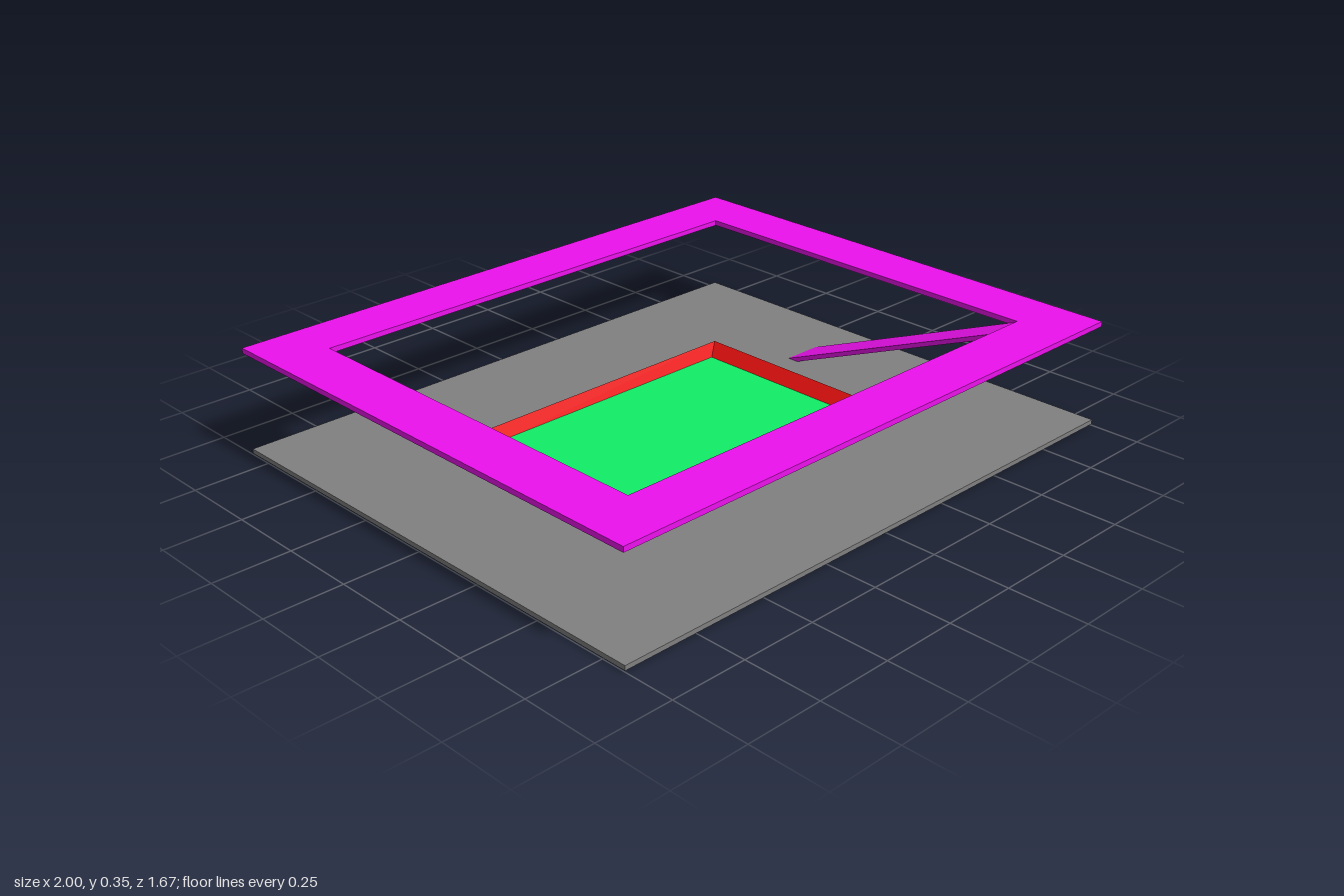
import * as THREE from 'three';

const paint = (color) => new THREE.MeshStandardMaterial({ color, flatShading: true });

function add(group, name, geometry, material) {
  const mesh = new THREE.Mesh(geometry, material);
  mesh.name = name;
  group.add(mesh);
  return mesh;
}

// Rectangular ring skinned through [halfX, halfZ, y] sections, outside to inside
function rectangularRing(sections) {
  const corners = [[1, 1], [1, -1], [-1, -1], [-1, 1]];
  const positions = [];
  const point = (s, k) => {
    const [cx, cz] = corners[k % 4];
    return [cx * s[0], s[2], cz * s[1]];
  };
  for (let i = 0; i < sections.length - 1; i++) {
    for (let k = 0; k < 4; k++) {
      const a = point(sections[i], k), b = point(sections[i], k + 1);
      const c = point(sections[i + 1], k + 1), d = point(sections[i + 1], k);
      positions.push(...a, ...b, ...c, ...a, ...c, ...d);
    }
  }
  const geometry = new THREE.BufferGeometry();
  geometry.setAttribute('position', new THREE.Float32BufferAttribute(positions, 3));
  geometry.computeVertexNormals();
  return geometry;
}

export function createModel() {
  const model = new THREE.Group();
  model.name = 'courtyard';
  const W = 2, D = 1.666;
  const magenta = paint(0xee11ee);

  // Ground slab
  add(model, 'floorSlab', new THREE.BoxGeometry(W, 0.015, D), paint(0x808080)).position.y = 0.0125;

  // Raised walkway with a rectangular opening
  const shape = new THREE.Shape([
    new THREE.Vector2(-W / 2, -D / 2), new THREE.Vector2(W / 2, -D / 2),
    new THREE.Vector2(W / 2, D / 2), new THREE.Vector2(-W / 2, D / 2),
  ]);
  const hx = 0.815, hz = 0.65;
  shape.holes.push(new THREE.Path([
    new THREE.Vector2(-hx, -hz), new THREE.Vector2(-hx, hz),
    new THREE.Vector2(hx, hz), new THREE.Vector2(hx, -hz),
  ]));
  const walkway = new THREE.ExtrudeGeometry(shape, { depth: 0.017, bevelEnabled: false });
  walkway.rotateX(-Math.PI / 2);
  add(model, 'upperWalkway', walkway, magenta).position.y = 0.337;

  // Ramp from the front of the walkway down to the floor
  const top = new THREE.Vector2(0.65, 0.344), foot = new THREE.Vector2(-0.17, 0.008);
  const ramp = add(model, 'ramp', new THREE.BoxGeometry(0.137, 0.015, top.distanceTo(foot)), magenta);
  ramp.position.set(0.743, (top.y + foot.y) / 2, (top.x + foot.x) / 2);
  ramp.rotation.x = -Math.atan2(top.y - foot.y, top.x - foot.x);

  // Pool kerb: flared foot, upright wall, inner slope
  const kerb = rectangularRing([
    [0.525, 0.358, 0.018], [0.497, 0.338, 0.037], [0.497, 0.338, 0.082], [0.462, 0.317, 0.038],
  ]);
  const red = paint(0xee1111);
  red.side = THREE.DoubleSide;
  add(model, 'poolKerb', kerb, red);

  // Sunken green bed
  add(model, 'poolBed', new THREE.BoxGeometry(0.924, 0.02, 0.634), paint(0x11ee66)).position.y = 0.03;

  return model;
}
